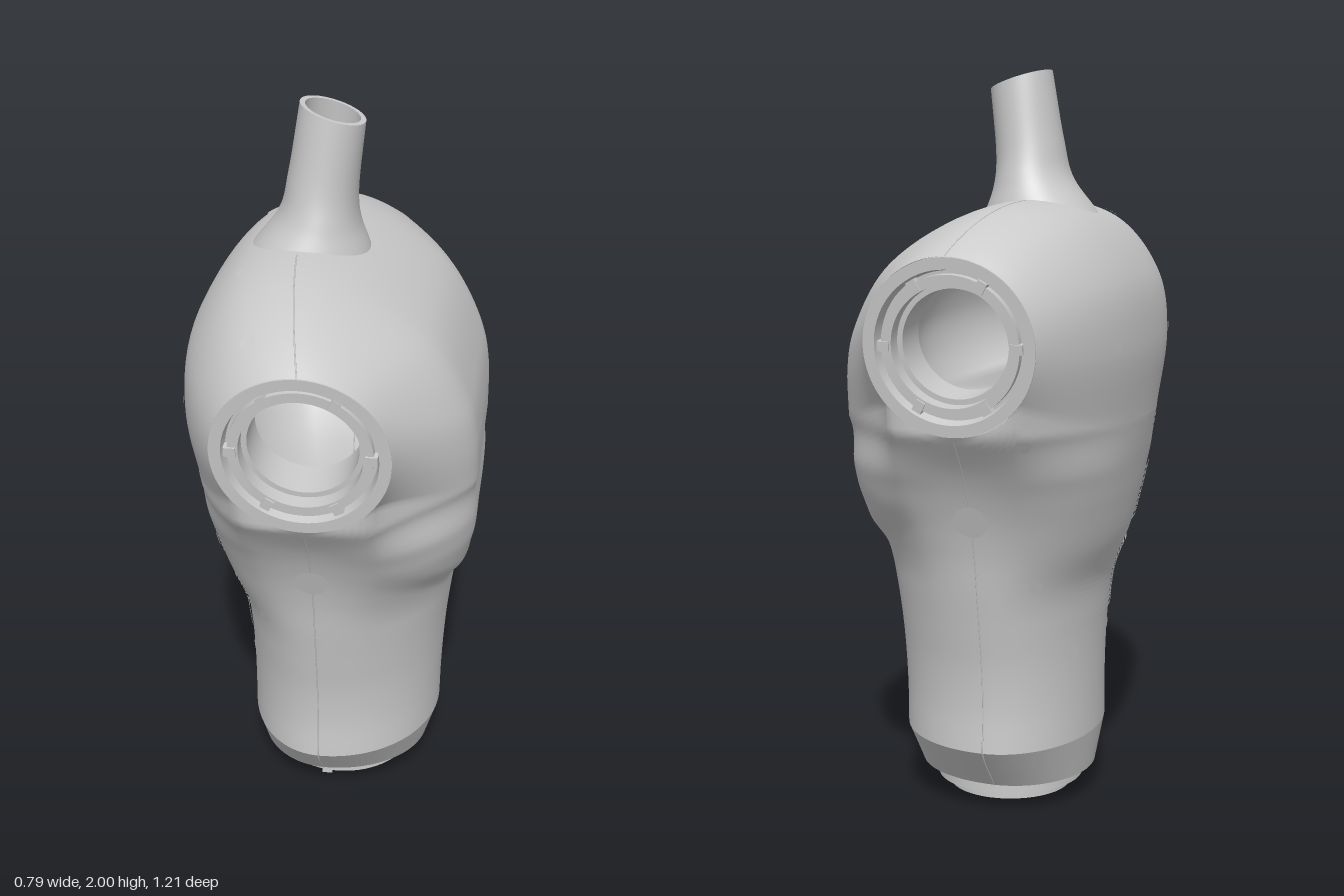
import * as THREE from 'three';
import { mergeGeometries, mergeVertices, toCreasedNormals } from 'three/addons/utils/BufferGeometryUtils.js';

const { smoothstep, lerp } = THREE.MathUtils;
const V = (x, y, z = 0) => new THREE.Vector3(x, y, z);
const PI = Math.PI, TAU = 2 * PI;
const CX = -0.02, CY = 1.302, R = 0.222, TILT = 0.11;
// The chest meets each shoulder ring above PHI0; A1 is the matching angle around the waist
const PHI0 = -40 * PI / 180, A1 = 1.144;

// Surface from fn(u, v), with its outside along dv x du
function grid(fn, u0, u1, nu, v0, v1, nv) {
  const pos = [], idx = [];
  for (let j = 0; j <= nv; j++) {
    for (let i = 0; i <= nu; i++) {
      const p = fn(lerp(u0, u1, i / nu), lerp(v0, v1, j / nv));
      pos.push(p.x, p.y, p.z);
    }
  }
  for (let j = 0; j < nv; j++) {
    for (let i = 0; i < nu; i++) {
      const a = j * (nu + 1) + i, b = a + 1, c = a + nu + 1;
      idx.push(a, c, b, b, c, c + 1);
    }
  }
  const g = new THREE.BufferGeometry();
  g.setAttribute('position', new THREE.Float32BufferAttribute(pos, 3));
  g.setIndex(idx);
  return g;
}

function smooth(...parts) {
  const g = mergeVertices(mergeGeometries(parts), 1e-4);
  g.computeVertexNormals();
  return g;
}

// Point at a given spread s (-1 to 1) between the two tilted shoulder planes
const between = (x, y, s) => V(x, y, s * (0.58 + TILT * (y - 1.3)));

// Chest: a side profile over the middle that blends into the round shoulder openings
const midProfile = new THREE.CatmullRomCurve3([
  V(0.39, 1.08), V(0.386, 1.2), V(0.362, 1.31), V(0.25, 1.5), V(-0.04, 1.655),
  V(-0.235, 1.62), V(-0.362, 1.465), V(-0.395, 1.29), V(-0.377, 1.08)]);
function chest(a, t) {
  const s = Math.sin(a) / Math.sin(A1), d = Math.abs(s), m = midProfile.getPoint(t);
  const phi = lerp(PHI0, PI - PHI0, t), edge = Math.abs(2 * t - 1);
  let w = lerp(Math.pow(d, 2.9 - 0.6 * edge), (1 - Math.cos(a)) / (1 - Math.cos(A1)), edge ** 4);
  if (t < 0.5) {
    // fuller breast that turns in quickly before the shoulder
    const full = smoothstep(d, 0.4, 1.1) / smoothstep(1, 0.4, 1.1);
    w = lerp(w, full, t < 0.25 ? 1 : Math.sin(TAU * t) ** 2);
  }
  return between(lerp(m.x, CX + R * Math.cos(phi), w), lerp(m.y, CY + R * Math.sin(phi), w), s);
}

// Upper edge of the waist: chest edge at front and back, ring edge at the sides
function rim(a) {
  const c = Math.cos(a), s = Math.sin(a);
  if (Math.abs(c) >= Math.cos(A1)) return chest(Math.asin(s), c > 0 ? 0 : 1);
  const phi = lerp(PHI0, -PI - PHI0, (Math.acos(c) - A1) / (PI - 2 * A1));
  return between(CX + R * Math.cos(phi), CY + R * Math.sin(phi), Math.sign(s));
}

// Waist sections, evenly spaced in height: front reach, back reach, half width
const sections = new THREE.CatmullRomCurve3([
  V(0.295, 0.25, 0.335), V(0.297, 0.25, 0.33), V(0.302, 0.252, 0.337),
  V(0.31, 0.258, 0.355), V(0.323, 0.272, 0.375), V(0.338, 0.313, 0.395),
  V(0.352, 0.338, 0.427), V(0.368, 0.358, 0.478), V(0.39, 0.377, 0.5558)], false, 'catmullrom');
function section(a, y) {
  const q = sections.getPoint(Math.min(1, Math.max(0, (y - 0.2) / 0.88)));
  const c = Math.cos(a), z = q.z * Math.sin(a), under = 1 - smoothstep(y, 0.88, 1.08);
  let reach = q.y - 0.02, square = 0.06 * smoothstep(y, 0.55, 0.9);
  if (c > 0) {
    // curved fold under the chest
    const fold = smoothstep(y - 0.17 * Math.min(1, (z / 0.45) ** 2), 0.69, 0.77);
    reach = q.x + 0.02 + 0.03 * fold * under;
    square = 0.09 * smoothstep(y, 0.65, 0.9);
  }
  // squarer corners between the fold and the shoulders
  const k = 1 + square * (1 - smoothstep(y, 0.95, 1.08)) * Math.sin(2 * a) ** 2;
  return V(CX + reach * c * k, y, z * k);
}
function waist(a, y) {
  const top = rim(a), k = (y - 0.2) / (top.y - 0.2);
  return section(a, y).addScaledVector(top.clone().sub(section(a, top.y)), k ** 4);
}
const waistRow = (a, k) => waist(a, lerp(0.2, rim(a).y, k));

// Tapered hem under the waist
function hem(a, k) {
  const c = Math.cos(a), p = section(a, 0.2);
  return V(lerp(CX + (c > 0 ? 0.28 : 0.21) * c, p.x, k), lerp(0.08, 0.2, k), lerp(0.24 * Math.sin(a), p.z, k));
}

// Leaning neck: ring centre and tilt, then ring radii; its foot drops onto the shoulders
const neckCentre = new THREE.CatmullRomCurve3([
  V(-0.083, 1.645, 0), V(-0.057, 1.71, -0.012), V(-0.046, 1.8, -0.02), V(-0.022, 1.975, -0.025)], false, 'catmullrom');
const neckRadius = new THREE.CatmullRomCurve3([
  V(0.163, 0.16), V(0.107, 0.133), V(0.09, 0.109), V(0.083, 0.087)], false, 'catmullrom');
function neck(a, v, scale = 1) {
  const c = neckCentre.getPoint(v), r = neckRadius.getPoint(v);
  const ca = Math.cos(a) * scale, drop = 0.045 * ca * ca * (1 - v) ** 4;
  return V(c.x + r.x * ca, c.y + c.z * ca - drop, r.y * Math.sin(a) * scale);
}

export function createModel() {
  const model = new THREE.Group();
  const shell = new THREE.MeshStandardMaterial({ color: 0xcacaca, side: THREE.DoubleSide });
  shell.name = 'shell grey';
  const add = (name, geo, parent = model) => {
    const m = new THREE.Mesh(geo, shell);
    m.name = name;
    parent.add(m);
    return m;
  };

  add('torso', smooth(
    grid(waistRow, -A1, A1, 40, 0, 1, 64),
    grid(waistRow, A1, PI - A1, 16, 0, 1, 64),
    grid(waistRow, PI - A1, PI + A1, 40, 0, 1, 64),
    grid(waistRow, PI + A1, TAU - A1, 16, 0, 1, 64),
    grid(chest, -A1, A1, 40, 0, 1, 72)));
  add('hem', smooth(grid(hem, 0, TAU, 96, 0, 1, 4)));
  add('hemFloor', smooth(grid((a, k) => {
    const p = hem(a, 0);
    return V(lerp(0.01 + 0.15 * Math.cos(a), p.x, k), 0.08, lerp(0.15 * Math.sin(a), p.z, k));
  }, 0, TAU, 64, 0, 1, 1)));

  add('neck', smooth(grid(neck, 0, TAU, 64, 0, 1, 24)));
  add('neckRim', smooth(grid((a, k) => neck(a, 1, lerp(1, 0.84, k)), 0, TAU, 64, 0, 1, 1)));
  add('neckLining', smooth(grid((a, v) => neck(a, v, 0.84), 0, TAU, 64, 1, 0.3, 12)));

  const lathe = pts => toCreasedNormals(
    new THREE.LatheGeometry(pts.map(p => new THREE.Vector2(...p)), 72), 0.5);

  // Shoulder sockets
  for (const side of [1, -1]) {
    const socket = new THREE.Group();
    socket.name = side > 0 ? 'leftSocket' : 'rightSocket';
    socket.position.set(CX, CY, side * 0.58);
    socket.rotation.x = side * (PI / 2 + TILT);
    model.add(socket);
    add('socketRing', lathe([[R, -0.01], [R, 0.003], [0.192, 0.003], [0.186, -0.03], [0.178, -0.03],
      [0.178, -0.008], [0.152, -0.008], [0.152, -0.05], [0.138, -0.05], [0.138, -0.16]]), socket);
    for (let i = 0; i < 6; i++) {
      const a = i * TAU / 6;
      const lug = add('socketLug', new THREE.BoxGeometry(0.03, 0.025, 0.025), socket);
      lug.position.set(0.172 * Math.cos(a), -0.015, 0.172 * Math.sin(a));
      lug.rotation.y = -a;
    }
  }

  // Mounting collar below
  const collar = new THREE.Group();
  collar.name = 'collar';
  collar.position.x = 0.01;
  model.add(collar);
  add('collarRing', lathe([[0.09, 0.065], [0.09, 0.03], [0.125, 0.03], [0.125, 0.042], [0.14, 0.042],
    [0.14, 0.015], [0.172, 0.015], [0.172, 0.042], [0.205, 0.042], [0.205, 0.073], [0.15, 0.08]]), collar);
  const floor = add('collarFloor', new THREE.CircleGeometry(0.09, 48), collar);
  floor.rotation.x = PI / 2;
  floor.position.y = 0.065;
  const pin = add('collarPin', new THREE.BoxGeometry(0.03, 0.03, 0.02), collar);
  pin.position.set(-0.03, 0.015, 0.158);

  // Thin discs laid on a surface for the screw caps and side ports
  const disc = (name, fn, u, v, r) => {
    const e = 1e-3, p = fn(u, v);
    const n = fn(u, v + e).sub(p).cross(fn(u + e, v).sub(p)).normalize();
    const m = add(name, new THREE.CircleGeometry(r, 24));
    m.position.copy(p).addScaledVector(n, 0.004);
    m.lookAt(m.position.clone().add(n));
  };
  for (const side of [1, -1]) {
    disc('sidePort', waist, side * PI / 2, 0.845, 0.045);
    for (const [a, y] of [[2.04, 1.06], [2.15, 0.66], [2.58, 0.85], [2.6, 0.45]])
      disc('screwCap', waist, side * a, y, 0.018);
    disc('screwCap', hem, side * 2.17, 0.7, 0.018);
    for (const [a, t] of [[0.84, 0.6], [0.33, 0.615], [0.47, 0.87]])
      disc('screwCap', chest, side * a, t, 0.02);
  }

  // Slatted vents on the back
  const slats = (name, fn, u0, u1, v0, v1, n) => {
    const out = (u, v) => fn(u, v).add(V(-0.005, 0, 0)), step = (v1 - v0) / n, parts = [];
    for (let i = 0; i < n; i++) parts.push(grid(out, u0, u1, 16, v0 + i * step, v0 + (i + 0.6) * step, 1));
    add(name, smooth(...parts));
  };
  slats('lowerVent', waist, PI - 0.56, PI + 0.56, 0.53, 0.72, 12);
  slats('middleVent', waist, PI - 0.5, PI + 0.5, 0.78, 0.93, 9);
  slats('upperVent', waist, PI - 0.23, PI + 0.23, 0.99, 1.08, 5);
  slats('upperVent', chest, -0.2, 0.2, 0.94, 1, 7);

  // Seams along the flanks and over the shoulders
  const seam = pts => add('seam', new THREE.TubeGeometry(new THREE.CatmullRomCurve3(pts), 48, 0.002, 5));
  for (const side of [1, -1]) {
    const flank = [], top = [];
    for (let i = 0; i <= 16; i++) {
      flank.push(waist(side * PI / 2, lerp(0.2, 1.07, i / 16)));
      top.push(chest(side * lerp(0.26, A1, i / 16), lerp(0.53, 0.5, i / 16)));
    }
    seam([hem(side * PI / 2, 0), ...flank]);
    seam(top);
  }
  return model;
}
